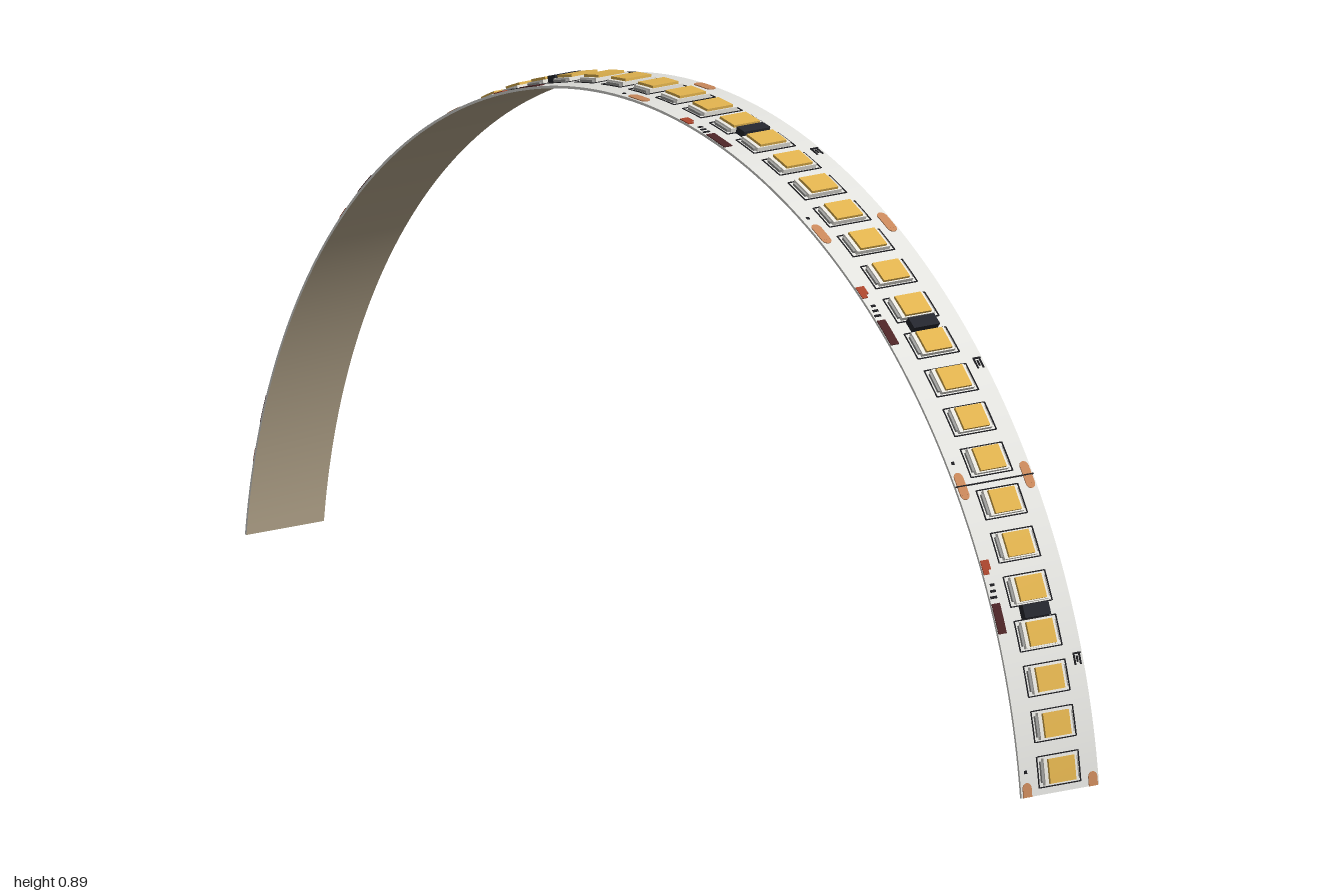
import * as THREE from 'three';
import { mergeGeometries } from 'three/addons/utils/BufferGeometryUtils.js';

const R = 0.996, CY = -0.117;             // arch radius and height of its centre
const START = Math.asin(-CY / R);         // angle where the strip meets the ground
const SEGMENTS = 6, LEDS = 7;
const SEG = (Math.PI - 2 * START) / SEGMENTS;
const LEN = SEG * R, PITCH = LEN / LEDS;

const mat = (name, color) => {
  const m = new THREE.MeshStandardMaterial({ color });
  m.name = name;
  return m;
};

// Wraps flat geometry (x across, y outwards, -z along the strip) round the arch
function bend(geo) {
  const p = geo.attributes.position;
  for (let i = 0; i < p.count; i++) {
    const a = START - p.getZ(i) / R, r = R + p.getY(i);
    p.setXYZ(i, p.getX(i), r * Math.sin(a), r * Math.cos(a));
  }
  geo.computeVertexNormals();
  return geo;
}

// Box lying on the strip: centre x, distance s along, width, length, bottom and top heights
function box(x, s, w, l, y0, y1, n = 2) {
  return new THREE.BoxGeometry(w, y1 - y0, l, 1, 1, n).translate(x, (y0 + y1) / 2, -s);
}

export function createModel() {
  const white = mat('board white', 0xe2e2de);
  const beige = mat('adhesive beige', 0xb5a68c);
  const black = mat('print black', 0x1c1c20);
  const copper = mat('pad copper', 0xc8875a);
  const housing = mat('housing white', 0xefede6);
  const metal = mat('lead grey', 0x9a9a98);
  const yellow = mat('phosphor yellow', 0xe0b24e);
  const chipMat = mat('chip black', 0x24262e);
  const maroon = mat('resistor maroon', 0x4c2426);
  const red = mat('label red', 0xa8442c);

  const parts = {
    lampPrint: [black, []], lampHousings: [housing, []], lampLeads: [metal, []],
    lampPhosphor: [yellow, []], driverChip: [chipMat, []], solderPads: [copper, []],
    resistorBlock: [maroon, []], redMark: [red, []], smallMarks: [black, []],
  };
  const add = (name, ...args) => parts[name][1].push(box(...args));

  // Row of lamps with a printed frame round each one
  for (let i = 0; i < LEDS; i++) {
    const s = (i + 0.5) * PITCH;
    for (const side of [-1, 1]) {
      add('lampPrint', side * 0.0385, s, 0.002, 0.048, 0, 0.001);
      add('lampPrint', 0, s + side * 0.0235, 0.075, 0.0018, 0, 0.001);
      add('lampLeads', side * 0.0325, s, 0.004, 0.032, 0, 0.004);
    }
    add('lampHousings', 0, s, 0.061, 0.041, 0, 0.0065);
    add('lampPhosphor', 0, s, 0.048, 0.037, 0.006, 0.0105);
  }

  // Driver chip between the fourth and fifth lamps
  add('driverChip', 0, 4 * PITCH, 0.048, 0.02, 0, 0.011);

  // Half pads at both ends, joining those of the next segment
  for (const x of [-0.061, 0.061]) {
    for (const [end, dir] of [[0, 1], [LEN, -1]]) {
      add('solderPads', x, end + dir * 0.007, 0.016, 0.014, 0, 0.0015);
      parts.solderPads[1].push(
        new THREE.CylinderGeometry(0.008, 0.008, 0.0013, 16).translate(x, 0.00065, -(end + dir * 0.014)));
    }
  }

  // Printed block and marks along both edges
  const deg = (d) => THREE.MathUtils.degToRad(d) * R;
  add('resistorBlock', -0.064, deg(15.7), 0.015, deg(2.7), 0, 0.0015);
  add('redMark', -0.064, deg(20.5), 0.015, deg(0.9), 0, 0.0015);
  add('redMark', -0.0665, deg(19.85), 0.01, deg(0.4), 0, 0.0015);
  for (let i = 0; i < 3; i++) {
    add('smallMarks', -0.0645 + i * 0.0015, deg(17.6 + i * 0.55), 0.012 - i * 0.002, 0.004, 0, 0.001);
    add('smallMarks', 0.056 + i * 0.005, deg(11.1), 0.003, 0.018 - (i % 2) * 0.008, 0, 0.001);
  }
  add('smallMarks', 0.062, deg(11.6), 0.014, 0.003, 0, 0.001);
  add('smallMarks', -0.061, deg(2.2), 0.005, 0.005, 0, 0.001);

  const built = Object.entries(parts).map(([name, [material, geos]]) =>
    [name, material, bend(mergeGeometries(geos))]);

  const arch = new THREE.Group();
  arch.name = 'lightStrip';
  arch.position.y = CY;

  // Flexible board: white outside, beige back and edges
  const board = new THREE.Mesh(
    bend(box(0, LEN * SEGMENTS / 2, 0.144, LEN * SEGMENTS, -0.004, 0, 126)),
    [white, white, white, beige, beige, beige]);
  board.name = 'flexibleBoard';
  arch.add(board);

  // Equal segments swung round the arch
  for (let k = 0; k < SEGMENTS; k++) {
    const segment = new THREE.Group();
    segment.name = 'segment' + (k + 1);
    segment.rotation.x = -k * SEG;
    for (const [name, material, geo] of built) {
      const mesh = new THREE.Mesh(geo, material);
      mesh.name = name;
      segment.add(mesh);
    }
    arch.add(segment);
  }

  // Cut line between the first two segments
  const cut = new THREE.Mesh(bend(box(0, LEN, 0.144, 0.002, 0, 0.0018)), black);
  cut.name = 'cutLine';
  arch.add(cut);

  const model = new THREE.Group();
  model.name = 'lightStripArch';
  model.add(arch);
  return model;
}
